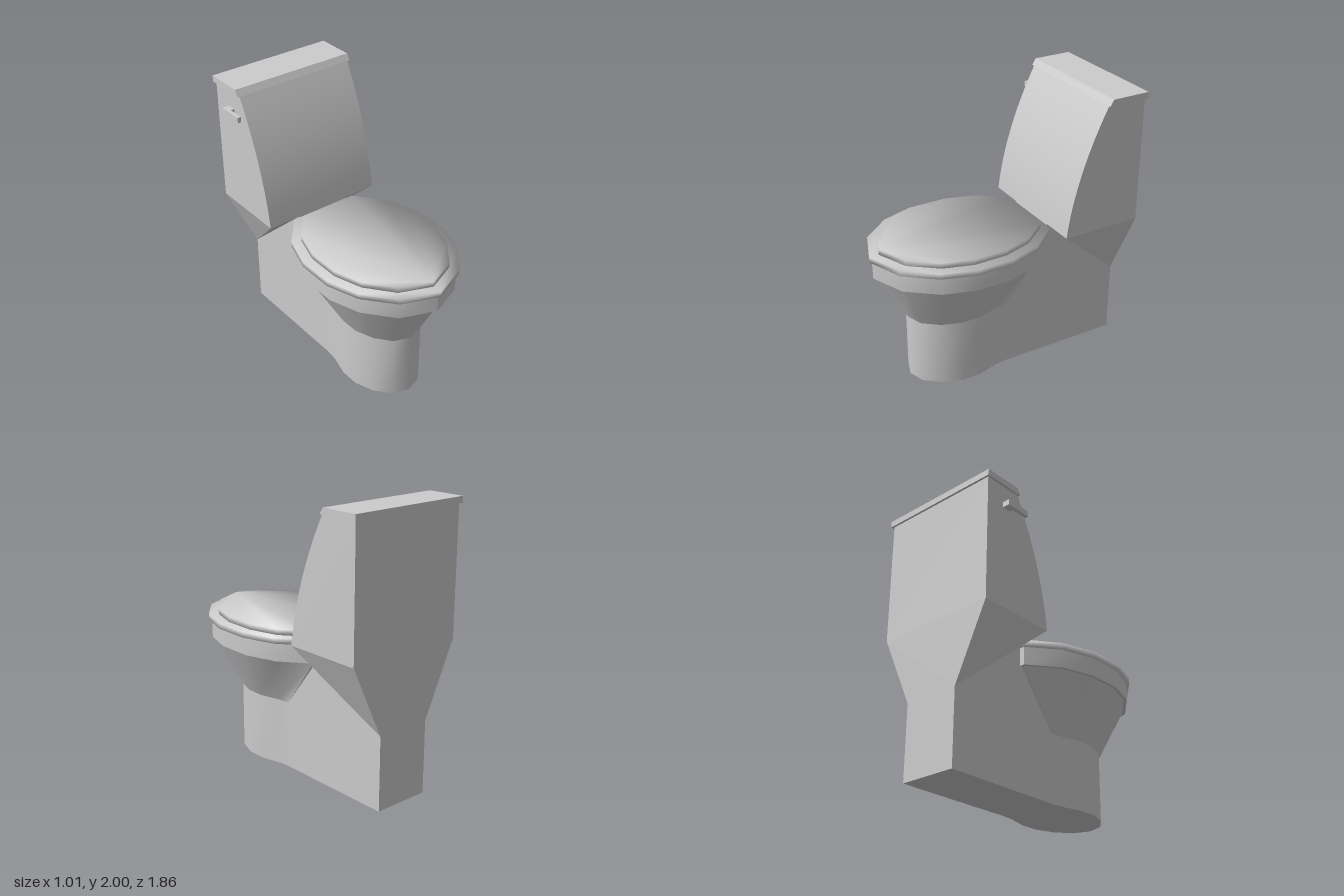
import * as THREE from 'three';
import { toCreasedNormals } from 'three/addons/utils/BufferGeometryUtils.js';
import { ConvexGeometry } from 'three/addons/geometries/ConvexGeometry.js';

const material = new THREE.MeshStandardMaterial({ color: 0xcccccc });

// Half plan of the rim, front centre to back corner, as [x, z]; x and z both run 0..1
const RIM = [[0, 1], [0.51, 0.92], [0.85, 0.754], [1, 0.571], [1, 0.357], [0.85, 0.167], [0.51, 0]];
// Half plan of the foot, which pinches in where it meets the rear body
const FOOT = [[0, 0.67], [0.12, 0.63], [0.21, 0.52], [0.26, 0.38], [0.26, 0.24], [0.22, 0.09], [0.21, 0]];

const rim = (y, halfWidth, front, back) =>
  RIM.map(([x, z]) => [x * halfWidth, y, back + z * (front - back)]);
const foot = (y) => FOOT.map(([x, z]) => [x, y, z]);

// Closed solid through mirrored half rings, listed bottom to top
function loft(halves, crease) {
  const rings = halves.map((h) => [...h, ...h.slice(1).reverse().map(([x, y, z]) => [-x, y, z])]);
  const n = rings[0].length;
  const top = (rings.length - 1) * n;
  const index = [];
  for (let r = 0; r < rings.length - 1; r++) {
    for (let i = 0; i < n; i++) {
      const a = r * n + i, b = r * n + (i + 1) % n;
      index.push(a, b, b + n, a, b + n, a + n);
    }
  }
  for (let i = 1; i < n - 1; i++) {
    index.push(0, i + 1, i, top, top + i, top + i + 1);
  }
  const geometry = new THREE.BufferGeometry();
  geometry.setAttribute('position', new THREE.Float32BufferAttribute(rings.flat(2), 3));
  geometry.setIndex(index);
  return toCreasedNormals(geometry, crease);
}

// Side profile in (z, y), extruded across x
function slab(profile, width) {
  const shape = new THREE.Shape(profile.map(([z, y]) => new THREE.Vector2(z, y)));
  const geometry = new THREE.ExtrudeGeometry(shape, { depth: width, bevelEnabled: false });
  geometry.translate(0, 0, -width / 2).rotateY(-Math.PI / 2);
  return toCreasedNormals(geometry, 0.5);
}

function box(x0, x1, y0, y1, z0, z1) {
  return new THREE.BoxGeometry(x1 - x0, y1 - y0, z1 - z0)
    .translate((x0 + x1) / 2, (y0 + y1) / 2, (z0 + z1) / 2);
}

export function createModel() {
  const group = new THREE.Group();
  const add = (name, geometry) => {
    const mesh = new THREE.Mesh(geometry, material);
    mesh.name = name;
    group.add(mesh);
  };

  // Foot, flaring bowl and collar
  add('foot', loft([foot(0), foot(0.49)], 0.7));
  add('bowl', loft([foot(0.49), rim(0.875, 0.46, 0.885, -0.3)], 0.7));
  add('collar', loft([rim(0.875, 0.483, 0.91, -0.32), rim(1.005, 0.483, 0.91, -0.32)], 0.7));

  // Seat and closed lid, softly shaded over their edges
  add('seat', loft([rim(1.005, 0.505, 0.93, -0.325), rim(1.045, 0.505, 0.93, -0.325)], 1.7));
  add('seatLid', loft([rim(1.045, 0.435, 0.86, -0.27), rim(1.085, 0.435, 0.86, -0.27)], 1.7));

  // Narrow rear body with a sloped top that carries the tank
  add('rearBody', slab(
    [[0, 0], [0, 0.49], [-0.3, 0.875], [-0.33, 1.05], [-0.915, 0.53], [-0.915, 0]], 0.42));

  // Wedge between the narrow body and the wide tank
  const wedge = [];
  for (const s of [-1, 1]) {
    wedge.push(
      new THREE.Vector3(s * 0.455, 1.05, -0.33),
      new THREE.Vector3(s * 0.455, 1.05, -0.915),
      new THREE.Vector3(s * 0.21, 0.53, -0.915));
  }
  add('tankUnderside', new ConvexGeometry(wedge));

  // Tank with a curved front
  const front = new THREE.QuadraticBezierCurve(
    new THREE.Vector2(-0.33, 1.05), new THREE.Vector2(-0.385, 1.5), new THREE.Vector2(-0.625, 1.955));
  const curve = front.getPoints(12).map((p) => [p.x, p.y]);
  add('tank', slab([...curve, [-0.915, 1.955], [-0.915, 1.05]], 0.91));
  add('tankLid', slab([[-0.62, 1.955], [-0.648, 2], [-0.93, 2], [-0.93, 1.955]], 0.945));

  // Flush lever on the model's right side
  add('leverPivot', box(-0.482, -0.45, 1.79, 1.83, -0.77, -0.705));
  add('leverArm', box(-0.508, -0.482, 1.79, 1.83, -0.77, -0.58));

  return group;
}
